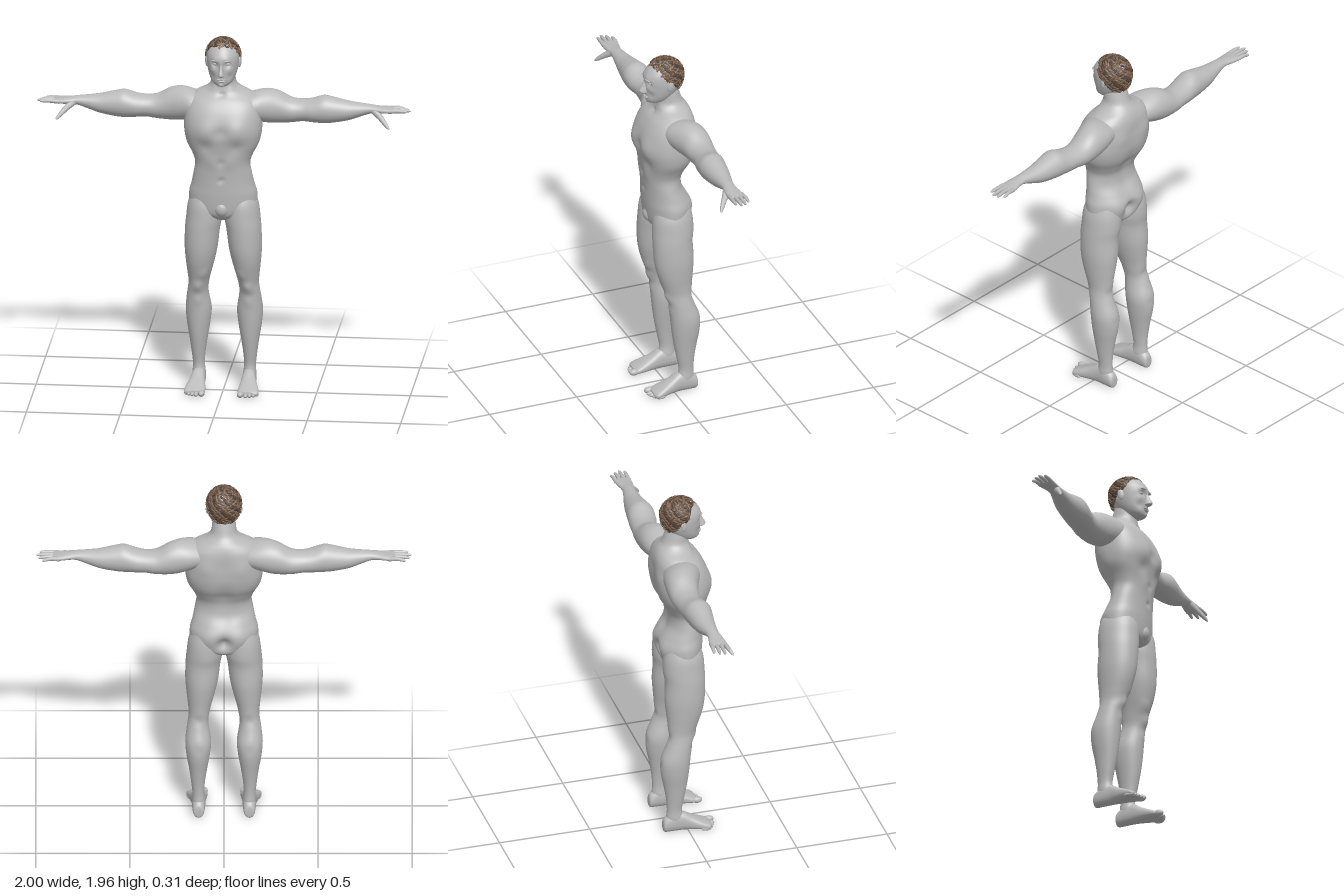
import * as THREE from 'three';
import { mergeGeometries } from 'three/addons/utils/BufferGeometryUtils.js';

const skin = new THREE.MeshStandardMaterial({ color: 0xbababa });
skin.name = 'grey skin';
const hairDark = new THREE.MeshStandardMaterial({ color: 0x55433a, side: THREE.DoubleSide });
hairDark.name = 'dark brown hair';
const hairLight = new THREE.MeshStandardMaterial({ color: 0x80654f });
hairLight.name = 'brown hair';

// Smooth skin through rows of [t, aMin, aMax, bMin, bMax, roundness]; place() maps (t, a, b) to space.
function loft(rows, place, seg = 40, steps = 5, bumps = []) {
  const full = rows.map(r => (r.length < 6 ? [...r, 2] : r));
  const rings = [];
  for (let i = 0; i < full.length - 1; i++) {
    const [p0, p1, p2, p3] = [-1, 0, 1, 2].map(k => full[THREE.MathUtils.clamp(i + k, 0, full.length - 1)]);
    for (let s = 0; s < steps; s++) {
      const u = s / steps;
      rings.push(p1.map((v, k) => v + 0.5 * u * (p2[k] - p0[k]
        + u * (2 * p0[k] - 5 * v + 4 * p2[k] - p3[k] + u * (3 * (v - p2[k]) + p3[k] - p0[k])))));
    }
  }
  rings.push(full[full.length - 1]);
  const pts = [], index = [];
  const round = (c, n) => Math.sign(c) * Math.abs(c) ** (2 / n);
  rings.forEach(([t, a0, a1, b0, b1, n], j) => {
    for (let i = 0; i < seg; i++) {
      const w = (i / seg) * Math.PI * 2;
      pts.push(place(t, (a0 + a1) / 2 + (a1 - a0) / 2 * round(Math.cos(w), n),
        (b0 + b1) / 2 + (b1 - b0) / 2 * round(Math.sin(w), n)));
      if (j) {
        const a = (j - 1) * seg + i, b = (j - 1) * seg + (i + 1) % seg;
        index.push(a, b, a + seg, b, b + seg, a + seg);
      }
    }
  });
  // end caps
  [rings[0], rings[rings.length - 1]].forEach(([t, a0, a1, b0, b1], e) => {
    const c = pts.length, base = e ? (rings.length - 1) * seg : 0;
    pts.push(place(t, (a0 + a1) / 2, (b0 + b1) / 2));
    for (let i = 0; i < seg; i++) {
      const p = base + i, q = base + (i + 1) % seg;
      index.push(...(e ? [c, p, q] : [c, q, p]));
    }
  });
  // soft muscle bumps [x, y, z, radius, push in z], mirrored in x
  for (const p of pts) {
    let dz = 0;
    for (const [x, y, z, r, d] of bumps) {
      const q = ((Math.abs(p.x) - x) ** 2 + (p.y - y) ** 2 + (p.z - z) ** 2) / (r * r);
      dz += d * Math.exp(-q);
    }
    p.z += dz;
  }
  // make faces point outward
  let volume = 0;
  const cross = new THREE.Vector3();
  for (let i = 0; i < index.length; i += 3)
    volume += cross.crossVectors(pts[index[i + 1]], pts[index[i + 2]]).dot(pts[index[i]]);
  if (volume < 0) index.reverse();
  const geo = new THREE.BufferGeometry().setFromPoints(pts);
  geo.setIndex(index);
  geo.computeVertexNormals();
  return geo;
}
const V = (x, y, z) => new THREE.Vector3(x, y, z);
const alongY = (t, a, b) => V(a, t, b);
const alongX = (t, a, b) => V(t, b, a);
const alongZ = (t, a, b) => V(a, Math.max(b, 0), t);
const sym = rows => rows.map(([y, w, ...rest]) => [y, -w, w, ...rest]);

// Rounded, tapering digit along a curve
function digit(points, r0, r1) {
  const path = new THREE.CatmullRomCurve3(points), n = 16, seg = 10;
  const geo = new THREE.TubeGeometry(path, n, 1, seg), pos = geo.attributes.position;
  for (let i = 0; i <= n; i++) {
    const u = i / n, c = path.getPointAt(u);
    const r = THREE.MathUtils.lerp(r0, r1, u) * Math.sqrt(Math.max(0, 1 - u ** 9)) + 1e-4;
    for (let j = 0; j <= seg; j++) {
      const k = i * (seg + 1) + j;
      const p = V(0, 0, 0).fromBufferAttribute(pos, k).sub(c).multiplyScalar(r).add(c);
      pos.setXYZ(k, p.x, p.y, p.z);
    }
  }
  return geo;
}
const ball = (x, y, z, rx, ry, rz) => new THREE.SphereGeometry(1, 20, 14).scale(rx, ry, rz).translate(x, y, z);

// Hair cap surface: theta from the crown, az measured from the front
const hairPoint = (az, th, grow = 0) => V(
  (0.092 + grow) * Math.sin(th) * Math.sin(az),
  1.865 + ((th < Math.PI / 2 ? 0.094 : 0.13) + grow) * Math.cos(th),
  -0.003 + (0.104 + grow) * Math.sin(th) * Math.cos(az));
const hairline = az => {
  const f = Math.cos(az), s = THREE.MathUtils.smoothstep;
  return 2.25 - 0.6 * s(f, -0.7, 0.1) - 0.75 * s(f, 0.1, 0.7);
};

export function createModel() {
  const model = new THREE.Group();
  const add = (name, geo, mat = skin) => {
    const mesh = new THREE.Mesh(geo, mat);
    mesh.name = name;
    model.add(mesh);
  };
  const pair = (name, geo) => {
    const other = geo.clone().scale(-1, 1, 1);
    other.setIndex(Array.from(geo.index.array).reverse());
    add('left' + name, geo);
    add('right' + name, other);
  };

  // Torso and neck, with chest, back and buttock shaping
  const spine = [1.2, 1.27, 1.34, 1.41, 1.48, 1.55].map(y => [0, y, -0.11, 0.045, 0.012]);
  add('torso', loft(sym([
    [0.965, 0.05, -0.05, 0.06], [0.985, 0.115, -0.095, 0.088], [1.02, 0.172, -0.115, 0.104],
    [1.1, 0.182, -0.125, 0.113], [1.16, 0.168, -0.11, 0.116], [1.22, 0.156, -0.083, 0.119],
    [1.28, 0.147, -0.08, 0.122, 2.2], [1.33, 0.162, -0.1, 0.127, 2.3], [1.39, 0.193, -0.132, 0.137, 2.3],
    [1.45, 0.206, -0.148, 0.145, 2.4], [1.51, 0.207, -0.152, 0.142, 2.4], [1.57, 0.2, -0.151, 0.125, 2.4],
    [1.62, 0.185, -0.146, 0.096, 2.3], [1.655, 0.15, -0.136, 0.065], [1.68, 0.1, -0.122, 0.05],
    [1.71, 0.07, -0.1, 0.045], [1.76, 0.062, -0.082, 0.05], [1.8, 0.055, -0.07, 0.04],
  ]), alongY, 72, 6, [
    ...spine,
    [0.085, 1.475, 0.13, 0.06, 0.014], [0, 1.47, 0.15, 0.03, -0.009], [0.08, 1.385, 0.13, 0.035, -0.008],
    [0.045, 1.3, 0.12, 0.04, 0.005], [0, 1.3, 0.12, 0.02, -0.006], [0, 1.2, 0.12, 0.014, -0.01],
    [0.085, 1.085, -0.11, 0.065, -0.016], [0, 1.06, -0.125, 0.035, 0.035], [0.1, 1.53, -0.14, 0.05, -0.007],
    [0, 1.655, 0.06, 0.018, -0.012], [0.05, 1.69, 0.03, 0.025, 0.006],
  ]));
  add('groin', ball(0, 1.035, 0.083, 0.04, 0.045, 0.036));

  // Legs
  pair('Leg', loft([
    [1.12, 0.03, 0.16, -0.1, 0.07], [1.05, 0.008, 0.187, -0.118, 0.096], [0.97, 0.006, 0.198, -0.122, 0.103],
    [0.9, 0.018, 0.204, -0.114, 0.104], [0.8, 0.03, 0.206, -0.118, 0.1], [0.72, 0.047, 0.2, -0.112, 0.085],
    [0.65, 0.066, 0.192, -0.105, 0.06], [0.6, 0.077, 0.188, -0.104, 0.04], [0.56, 0.083, 0.192, -0.107, 0.03],
    [0.52, 0.08, 0.198, -0.118, 0.022], [0.44, 0.068, 0.206, -0.148, 0.016], [0.36, 0.075, 0.2, -0.145, 0.008],
    [0.28, 0.088, 0.187, -0.13, -0.003], [0.2, 0.1, 0.176, -0.117, -0.018], [0.13, 0.105, 0.168, -0.112, -0.03],
    [0.08, 0.1, 0.17, -0.115, -0.02], [0.045, 0.105, 0.165, -0.108, -0.02],
  ], alongY, 40, 5, [
    [0.132, 0.585, 0.035, 0.032, 0.012], [0.132, 0.5, 0.02, 0.025, 0.005],
    [0.095, 0.66, 0.04, 0.035, 0.01], [0.135, 0.58, -0.105, 0.03, 0.008], [0.135, 0.42, -0.14, 0.025, 0.006],
  ]));

  // Feet and toes
  pair('Foot', loft([
    [-0.134, 0.118, 0.152, 0.015, 0.05], [-0.125, 0.106, 0.164, 0, 0.08], [-0.08, 0.1, 0.17, 0, 0.11, 2.3],
    [-0.03, 0.098, 0.172, 0, 0.11, 2.3], [0.02, 0.094, 0.182, 0, 0.082, 2.4], [0.07, 0.088, 0.195, 0, 0.057, 2.5],
    [0.11, 0.088, 0.199, 0, 0.038, 2.5], [0.125, 0.098, 0.18, 0.005, 0.03],
  ], alongZ));
  [[0.104, 0.155, 0.018], [0.132, 0.152, 0.012], [0.153, 0.145, 0.012], [0.172, 0.134, 0.011], [0.188, 0.12, 0.011]]
    .forEach(([x, tip, r], i) => pair('Toe' + (i + 1), ball(x, r, tip - 0.028, r, r, 0.028)));

  // Arms running out to the palms
  pair('Arm', loft([
    [0.1, -0.12, 0.06, 1.52, 1.64], [0.17, -0.142, 0.06, 1.5, 1.66], [0.23, -0.15, 0.038, 1.485, 1.668],
    [0.29, -0.152, 0.016, 1.48, 1.655], [0.36, -0.148, 0.002, 1.484, 1.618], [0.42, -0.142, 0, 1.492, 1.612],
    [0.47, -0.139, 0.01, 1.49, 1.62], [0.53, -0.133, 0.015, 1.488, 1.639], [0.58, -0.126, 0.01, 1.492, 1.632],
    [0.66, -0.113, -0.002, 1.507, 1.614], [0.72, -0.098, -0.01, 1.528, 1.606], [0.78, -0.085, -0.016, 1.55, 1.6],
    [0.82, -0.086, -0.012, 1.554, 1.594], [0.86, -0.094, -0.008, 1.556, 1.589, 2.4],
    [0.9, -0.097, -0.009, 1.559, 1.585, 2.5], [0.914, -0.09, -0.016, 1.565, 1.579],
  ], alongX));

  // Fingers and thumbs
  [[-0.087, -0.096, 0.968], [-0.064, -0.069, 0.99], [-0.041, -0.043, 1], [-0.019, -0.016, 0.982]]
    .forEach(([z0, z1, tip], i) => pair('Finger' + (i + 1), digit(
      [V(0.88, 1.572, z0), V((0.88 + tip) / 2, 1.575, (z0 + z1) / 2), V(tip, 1.564 + i * 0.003, z1)], 0.0125, 0.008)));
  pair('Thumb', digit([V(0.8, 1.572, -0.035), V(0.84, 1.54, -0.006), V(0.868, 1.512, 0.018), V(0.892, 1.487, 0.035)],
    0.02, 0.009));

  // Head with eye sockets, cheeks and brow
  add('head', loft(sym([
    [1.952, 0.012, -0.012, 0.016], [1.946, 0.042, -0.055, 0.05], [1.925, 0.066, -0.083, 0.08],
    [1.89, 0.083, -0.1, 0.106], [1.855, 0.086, -0.1, 0.115], [1.82, 0.084, -0.093, 0.11],
    [1.79, 0.078, -0.08, 0.109], [1.76, 0.068, -0.055, 0.108], [1.735, 0.054, -0.03, 0.104],
    [1.719, 0.034, 0, 0.095], [1.712, 0.012, 0.03, 0.075],
  ]), alongY, 72, 6, [
    [0.033, 1.842, 0.105, 0.018, -0.015], [0.035, 1.866, 0.107, 0.016, 0.005], [0.048, 1.81, 0.09, 0.02, 0.005],
    [0.045, 1.77, 0.09, 0.02, -0.006], [0, 1.738, 0.105, 0.01, -0.006], [0, 1.724, 0.1, 0.015, 0.005],
  ]));
  add('nose', loft(sym([
    [1.858, 0.009, 0.08, 0.115], [1.84, 0.009, 0.08, 0.117], [1.815, 0.012, 0.08, 0.129],
    [1.793, 0.017, 0.08, 0.141], [1.782, 0.019, 0.08, 0.138], [1.775, 0.011, 0.085, 0.122],
  ]), alongY, 24));
  add('upperLip', ball(0, 1.759, 0.104, 0.025, 0.0045, 0.01));
  add('lowerLip', ball(0, 1.75, 0.103, 0.021, 0.005, 0.01));
  pair('Eye', ball(0.033, 1.843, 0.088, 0.014, 0.009, 0.012));
  pair('Brow', ball(0, 0, 0, 0.021, 0.004, 0.006).rotateY(0.35).translate(0.035, 1.864, 0.108));
  pair('Ear', ball(0, 0, 0, 0.008, 0.031, 0.018).rotateX(-0.15).rotateY(-0.3).translate(0.088, 1.832, -0.002));

  // Hair cap trimmed along the hairline
  const cap = new THREE.SphereGeometry(1, 48, 20), uv = cap.attributes.uv, pos = cap.attributes.position;
  for (let i = 0; i < pos.count; i++) {
    const az = uv.getX(i) * Math.PI * 2 - Math.PI / 2;
    const p = hairPoint(-az - Math.PI, (1 - uv.getY(i)) * hairline(-az - Math.PI));
    pos.setXYZ(i, p.x, p.y, p.z);
  }
  // keep faces pointing outward
  const [a, b, c] = [0, 1, 2].map(k => V(0, 0, 0).fromBufferAttribute(pos, cap.index.array[600 + k]));
  if (b.clone().sub(a).cross(c.clone().sub(a)).dot(a.clone().sub(V(0, 1.865, 0))) < 0)
    cap.setIndex(Array.from(cap.index.array).reverse());
  cap.computeVertexNormals();
  add('hairCap', cap, hairDark);

  // Short overlapping tufts combed down from the crown
  const tufts = [[], []];
  for (let i = 0; i < 420; i++) {
    const th = Math.acos(1 - 2 * (i + 0.5) / 420), az = i * 2.39996;
    if (th > hairline(az) - 0.04) continue;
    const p = hairPoint(az, th, 0.001), down = hairPoint(az + 0.25 * Math.sin(i * 7.3), th + 0.1).sub(p).normalize();
    const out = p.clone().sub(V(0, 1.865, 0)).normalize();
    const side = V(0, 0, 0).crossVectors(down, out).normalize();
    out.crossVectors(side, down);
    const tuft = new THREE.SphereGeometry(1, 6, 5).scale(0.0065, 0.015, 0.0045);
    tufts[i % 3 ? 0 : 1].push(tuft.applyMatrix4(new THREE.Matrix4().makeBasis(side, down, out).setPosition(p)));
  }
  add('hairTufts', mergeGeometries(tufts[0]), hairLight);
  add('darkHairTufts', mergeGeometries(tufts[1]), hairDark);
  return model;
}
